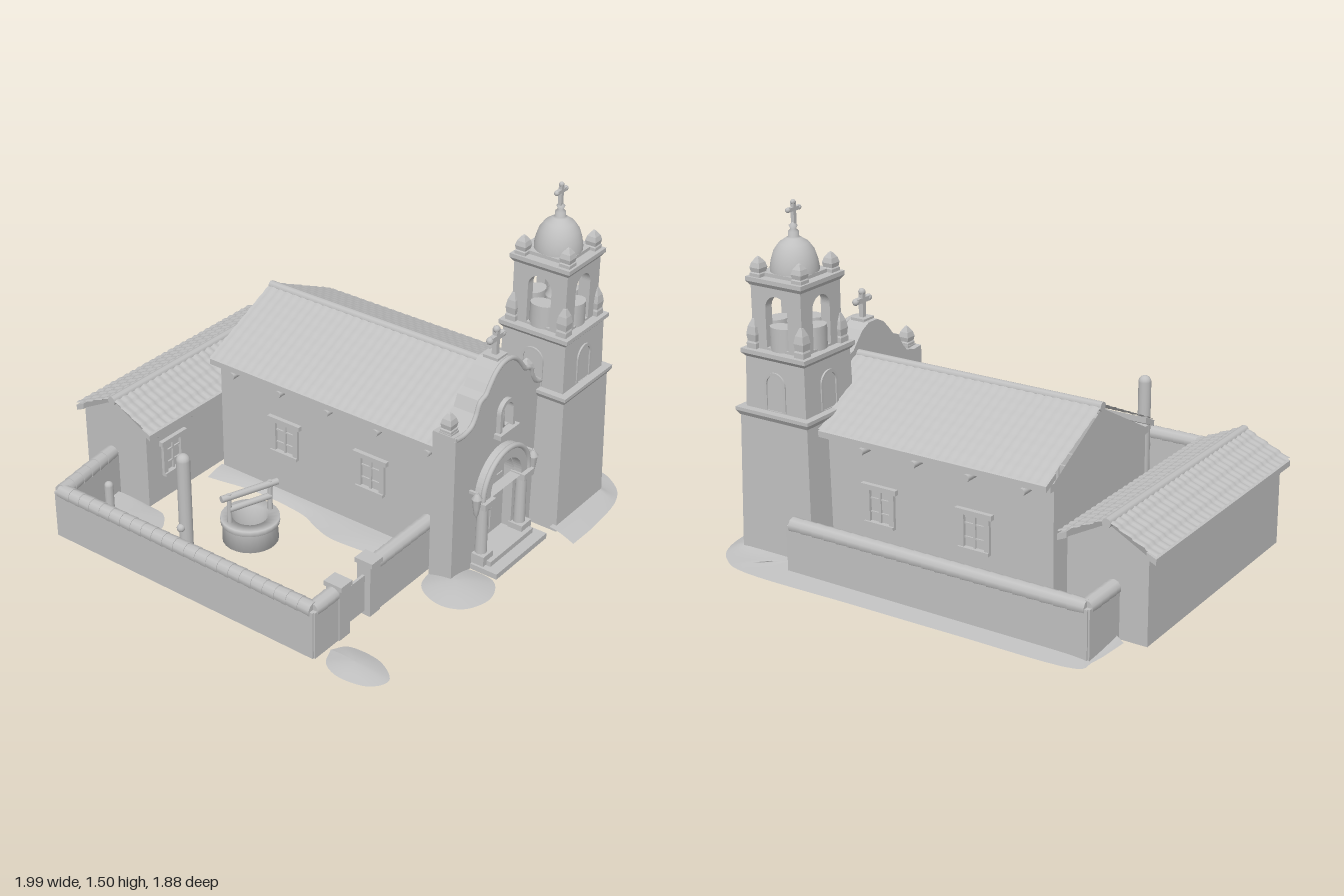
import * as THREE from 'three';

const stone = new THREE.MeshStandardMaterial({ color: 0xc0c0c0, side: THREE.DoubleSide });
stone.name = 'paleGrey';

export function createModel() {
  const root = new THREE.Group();
  root.name = 'missionChurch';
  const part = (name, geo, x = 0, y = 0, z = 0, parent = root) => {
    const m = new THREE.Mesh(geo, stone);
    m.name = name;
    m.position.set(x, y, z);
    parent.add(m);
    return m;
  };
  const group = (name, x = 0, y = 0, z = 0, ry = 0, parent = root) => {
    const g = new THREE.Group();
    g.name = name;
    g.position.set(x, y, z);
    g.rotation.y = ry;
    parent.add(g);
    return g;
  };
  // box given by its ranges
  const block = (name, x0, x1, y0, y1, z0, z1, parent = root) =>
    part(name, new THREE.BoxGeometry(x1 - x0, y1 - y0, z1 - z0), (x0 + x1) / 2, (y0 + y1) / 2, (z0 + z1) / 2, parent);
  const poly = pts => new THREE.Shape(pts.map(p => new THREE.Vector2(...p)));
  const extrude = (shape, depth) => new THREE.ExtrudeGeometry(shape, { depth, bevelEnabled: false, curveSegments: 14 });
  const arch = (cx, y0, spring, r, Type = THREE.Shape) => {
    const s = new Type();
    s.moveTo(cx - r, y0);
    s.lineTo(cx + r, y0);
    s.lineTo(cx + r, spring);
    s.absarc(cx, spring, r, 0, Math.PI, false);
    s.lineTo(cx - r, y0);
    return s;
  };
  const lathe = (pts, seg = 20) => new THREE.LatheGeometry(pts.map(p => new THREE.Vector2(...p)), seg);
  const beam = (name, r, len, x, y, z, parent) =>
    part(name, new THREE.CylinderGeometry(r, r, len, 10).rotateX(Math.PI / 2), x, y, z, parent);

  // Hollow gabled house: thin walls and a tiled roof with its ridge along local z
  function house(name, g, len, wallHalf, wallY, roofLen, half, eave, ridge, ripple) {
    const slope = (ridge - eave) / half;
    const yAt = x => ridge - slope * x;
    const gable = new THREE.ShapeGeometry(poly([[-wallHalf, 0], [wallHalf, 0], [wallHalf, wallY], [0, ridge - 0.012], [-wallHalf, wallY]]));
    for (const s of [-1, 1]) {
      const end = part(name + 'Gable', gable, 0, 0, s * len / 2, g);
      end.rotation.y = s > 0 ? 0 : Math.PI;
      const side = part(name + 'Wall', new THREE.PlaneGeometry(len, wallY), s * wallHalf, wallY / 2, 0, g);
      side.rotation.y = s * Math.PI / 2;
      // overhanging eave
      const w = wallHalf - 0.005, t = 0.026;
      part(name + 'Eave', extrude(poly([[s * w, yAt(w) - t], [s * half, eave - t], [s * half, eave], [s * w, yAt(w)]]), roofLen), 0, 0, -roofLen / 2, g);
    }
    const tiles = new THREE.PlaneGeometry(2 * half, roofLen, 60, Math.round(roofLen / 0.01)).rotateX(-Math.PI / 2);
    const p = tiles.attributes.position;
    for (let i = 0; i < p.count; i++) {
      const d = Math.abs(p.getX(i));
      p.setY(i, yAt(d) + 0.002 + ripple * ((d / 0.055) % 1 + Math.abs(Math.sin(p.getZ(i) * 75))));
    }
    tiles.computeVertexNormals();
    part(name + 'RoofTiles', tiles, 0, 0, 0, g);
    beam(name + 'RidgeCap', 0.02, roofLen, 0, ridge - 0.005, 0, g);
  }
  house('nave', group('nave', 0.04, 0, -0.275, Math.PI / 2), 1.18, 0.355, 0.58, 1.19, 0.42, 0.59, 0.785, 0.004);
  house('annex', group('annex', -0.782, 0, -0.053), 1.13, 0.178, 0.37, 1.16, 0.215, 0.378, 0.478, 0.007);

  // Window: frame, lintel, sill, mullion; faces local +z
  function windowAt(x, y, z, ry, w = 0.12, h = 0.14) {
    const g = group('window', x, y, z, ry);
    for (const s of [-1, 1]) block('windowJamb', s * w / 2 - 0.012, s * w / 2 + 0.012, -h / 2, h / 2, -0.01, 0.014, g);
    block('windowLintel', -w * 0.72, w * 0.72, h / 2, h / 2 + 0.022, -0.01, 0.02, g);
    block('windowSill', -w * 0.6, w * 0.6, -h / 2 - 0.015, -h / 2, -0.01, 0.022, g);
    block('windowMullion', -0.005, 0.005, -h / 2, h / 2, -0.01, 0.009, g);
    for (const s of [-1, 1]) block('windowBar', -w / 2, w / 2, s * 0.03 - 0.003, s * 0.03 + 0.003, -0.01, 0.007, g);
  }
  for (const x of [-0.19, 0.27]) {
    windowAt(x, 0.295, 0.08, 0);
    windowAt(x, 0.295, -0.63, Math.PI);
  }
  windowAt(-0.604, 0.2, 0.355, Math.PI / 2, 0.11, 0.14);

  // Beam ends and wall plates below the nave eaves
  for (const [z, s] of [[0.08, 1], [-0.63, -1]]) {
    for (let i = 0; i < 5; i++) beam('beamEnd', 0.016, 0.1, -0.44 + i * 0.255, 0.54, z + s * 0.01);
    block('wallPlate', -0.55, 0.63, 0.548, 0.58, z - 0.025, z + 0.025);
  }
  for (const z of [0.24, 0.46]) beam('annexBeamEnd', 0.012, 0.06, -0.6, 0.35, z).rotation.y = Math.PI / 2;

  // Facade: local x runs along -z, local z along +x
  const facade = group('facade', 0.64, 0, -0.165, Math.PI / 2);
  const right = [[0.345, 0], [0.345, 0.69], [0.29, 0.685], [0.235, 0.70], [0.205, 0.735], [0.18, 0.785], [0.14, 0.80], [0.115, 0.83], [0.075, 0.872], [0.03, 0.895]];
  const outline = [...right, ...right.map(([x, y]) => [-x, y]).reverse()];
  const front = poly(outline);
  front.holes.push(arch(-0.02, 0.04, 0.33, 0.113, THREE.Path), arch(0, 0.585, 0.665, 0.038, THREE.Path));
  part('facadeWall', extrude(front, 0.11), 0, 0, 0, facade);
  part('facadeBacking', new THREE.ShapeGeometry(poly(outline)), 0, 0, 0.05, facade);
  const rim = new THREE.CatmullRomCurve3(outline.slice(1, -1).map(([x, y]) => new THREE.Vector3(x, y - 0.006, 0.108)));
  part('facadeMoulding', new THREE.TubeGeometry(rim, 60, 0.011, 8), 0, 0, 0, facade);
  // square pinnacle
  const pinnacle = lathe([[0, 0], [0.036, 0], [0.036, 0.015], [0.031, 0.02], [0.036, 0.04], [0.028, 0.062], [0.01, 0.083], [0, 0.09]], 4).rotateY(Math.PI / 4).toNonIndexed();
  pinnacle.computeVertexNormals();
  for (const [x, y] of [[-0.312, 0.69], [0.24, 0.69]]) {
    block('pinnacleBase', x - 0.028, x + 0.028, y - 0.03, y + 0.005, 0.027, 0.083, facade);
    part('facadePinnacle', pinnacle, x, y, 0.055, facade);
  }

  // Doorway: arch ring, columns, double door
  const ring = arch(-0.02, 0.325, 0.335, 0.175);
  ring.holes.push(arch(-0.02, 0.3251, 0.335, 0.115, THREE.Path));
  part('doorArch', extrude(ring, 0.05), 0, 0, 0.1, facade);
  part('doorArchMoulding', new THREE.TorusGeometry(0.168, 0.012, 8, 28, Math.PI), -0.02, 0.335, 0.148, facade);
  for (const s of [-1, 1]) {
    const x = -0.02 + s * 0.144;
    part('doorColumn', new THREE.CylinderGeometry(0.023, 0.026, 0.25, 14), x, 0.19, 0.132, facade);
    block('columnBase', x - 0.036, x + 0.036, 0.03, 0.075, 0.1, 0.17, facade);
    block('columnCapital', x - 0.038, x + 0.038, 0.3, 0.33, 0.1, 0.17, facade);
    // wall lantern
    const lx = -0.022 + s * 0.208;
    part('lantern', lathe([[0, 0], [0.01, 0.02], [0.015, 0.05], [0.021, 0.09], [0.023, 0.095], [0.01, 0.115], [0, 0.13]], 8), lx, 0.275, 0.145, facade);
    block('lanternBracket', lx - 0.006, lx + 0.006, 0.385, 0.397, 0.1, 0.15, facade);
    block('doorPanel', -0.02 + s * 0.056 - 0.04, -0.02 + s * 0.056 + 0.04, 0.07, 0.32, 0.064, 0.07, facade);
  }
  part('door', extrude(arch(-0.02, 0.03, 0.33, 0.113), 0.01), 0, 0, 0.055, facade);
  part('doorWreath', new THREE.TorusGeometry(0.018, 0.006, 8, 16), -0.02, 0.205, 0.076, facade);

  // Statue niche
  const nicheRing = arch(0, 0.58, 0.665, 0.055);
  nicheRing.holes.push(arch(0, 0.5801, 0.665, 0.038, THREE.Path));
  part('nicheFrame', extrude(nicheRing, 0.03), 0, 0, 0.1, facade);
  block('nicheLedge', -0.07, 0.07, 0.56, 0.582, 0.1, 0.145, facade);
  part('nicheStatue', lathe([[0, 0], [0.022, 0], [0.018, 0.04], [0.02, 0.065], [0.008, 0.078], [0.012, 0.09], [0, 0.105]], 12), 0, 0.582, 0.09, facade);

  // Steps
  block('lowerStep', 0.64, 0.88, 0, 0.025, -0.34, 0.04);
  block('upperStep', 0.64, 0.83, 0, 0.048, -0.31, 0.01);

  // Cross with rounded ends, arms along z
  function cross(x, y, z, h, arm, t) {
    const g = group('cross', x, y, z);
    const cy = h * 0.66;
    block('crossPost', -t, t, 0, h - t, -t, t, g);
    block('crossArms', -t, t, cy - t, cy + t, -arm + t, arm - t, g);
    for (const [py, pz] of [[h - 1.4 * t, 0], [cy, arm - 1.4 * t], [cy, 1.4 * t - arm]])
      part('crossKnob', new THREE.SphereGeometry(t * 1.4, 10, 8), 0, py, pz, g);
  }
  cross(0.695, 0.88, -0.165, 0.15, 0.06, 0.011);
  block('crossFoot', 0.66, 0.73, 0.875, 0.905, -0.2, -0.13);

  // Bell tower
  const tower = group('bellTower', 0.703, 0, -0.59);
  const stage = (name, w, y0, y1, top = w, open = false) => {
    const g = new THREE.CylinderGeometry(top / Math.SQRT2, w / Math.SQRT2, y1 - y0, 4, 1, open).rotateY(Math.PI / 4).toNonIndexed();
    g.computeVertexNormals();
    part(name, g, 0, (y0 + y1) / 2, 0, tower);
  };
  stage('towerBase', 0.37, 0, 0.625, 0.345, true);
  stage('lowerCornice', 0.35, 0.615, 0.635, 0.375);
  stage('lowerCorniceTop', 0.375, 0.635, 0.65);
  stage('middleStage', 0.31, 0.65, 0.87, 0.3);
  stage('middleCornice', 0.3, 0.865, 0.882, 0.33);
  stage('middleCorniceTop', 0.33, 0.882, 0.9);
  stage('belfryCornice', 0.26, 1.165, 1.182, 0.283);
  stage('belfryCorniceTop', 0.283, 1.182, 1.2);
  stage('domePlinth', 0.2, 1.2, 1.215);
  for (let i = 0; i < 4; i++) {
    const side = group('towerSide', 0, 0, 0, i * Math.PI / 2, tower);
    const wall = poly([[-0.127, 0.9], [0.127, 0.9], [0.127, 1.17], [-0.127, 1.17]]);
    wall.holes.push(arch(0, 0.91, 1.075, 0.056, THREE.Path));
    part('belfryWall', extrude(wall, 0.04), 0, 0, 0.087, side);
    part('belfryParapet', new THREE.CylinderGeometry(0.055, 0.055, 0.1, 16), 0, 0.95, 0.095, side).scale.z = 0.75;
    const panel = arch(0, 0.655, 0.765, 0.054);
    panel.holes.push(arch(0, 0.6551, 0.765, 0.042, THREE.Path));
    part('middleArch', extrude(panel, 0.012), 0, 0, 0.147, side);
    part('belfryShoulder', pinnacle, 0.122, 0.9, 0.122, side).scale.set(0.95, 1.45, 0.95);
    part('domePinnacle', pinnacle, 0.106, 1.2, 0.1, side).scale.y = 0.92;
  }
  part('bell', lathe([[0.042, 0], [0.032, 0.02], [0.024, 0.06], [0.018, 0.08], [0, 0.085]]), 0, 1.0, 0, tower);
  part('bellHanger', new THREE.CylinderGeometry(0.007, 0.007, 0.1, 8), 0, 1.12, 0, tower);
  part('dome', lathe([[0.1, 0], [0.1, 0.02], [0.095, 0.05], [0.083, 0.088], [0.06, 0.12], [0.03, 0.14], [0.022, 0.145], [0.022, 0.165], [0.012, 0.175], [0.018, 0.19], [0, 0.205]], 28), 0, 1.21, 0, tower);
  cross(0.703, 1.39, -0.585, 0.115, 0.045, 0.008);

  // Courtyard walls with rounded tile caps
  function yardWall(ax, az, bx, bz) {
    const len = Math.hypot(bx - ax, bz - az);
    const g = group('yardWall', ax, 0, az, Math.atan2(bx - ax, bz - az));
    block('wallBody', -0.027, 0.027, 0, 0.215, -0.02, len + 0.02, g);
    const n = Math.ceil(len / 0.06);
    for (let i = 0; i < n; i++)
      part('capTile', new THREE.CylinderGeometry(0.034, 0.031, len / n + 0.012, 10).rotateX(Math.PI / 2), 0, 0.213, (i + 0.5) * len / n, g);
  }
  yardWall(-0.745, 0.88, 0.59, 0.88);
  yardWall(-0.798, 0.53, -0.745, 0.88);
  yardWall(0.59, 0.88, 0.59, 0.74);
  yardWall(0.59, 0.51, 0.59, 0.13);
  yardWall(-0.81, -0.82, 0.57, -0.82);
  yardWall(-0.81, -0.82, -0.81, -0.6);
  for (const z of [0.525, 0.722]) {
    block('gatePost', 0.557, 0.623, 0, 0.24, z - 0.033, z + 0.033);
    block('gatePostCap', 0.547, 0.633, 0.235, 0.257, z - 0.035, z + 0.035);
  }
  block('gate', 0.584, 0.596, 0.02, 0.19, 0.55, 0.7);

  // Well with its winch frame
  const well = group('well', -0.11, 0, 0.42, -0.35);
  part('wellRing', lathe([[0.075, 0], [0.12, 0], [0.115, 0.08], [0.126, 0.085], [0.126, 0.11], [0.075, 0.11], [0.075, 0]], 24), 0, 0, 0, well);
  for (const s of [-1, 1]) part('wellPost', new THREE.CylinderGeometry(0.01, 0.012, 0.2, 8), 0, 0.15, s * 0.098, well);
  beam('wellBeam', 0.015, 0.27, 0, 0.235, 0, well);
  beam('wellRoller', 0.014, 0.2, 0, 0.175, 0, well);

  // Columnar cactus and a small plant
  part('cactus', new THREE.CapsuleGeometry(0.029, 0.48, 6, 14), -0.185, 0.27, 0.735);
  part('cactusArm', new THREE.SphereGeometry(0.018, 10, 8), -0.185, 0.2, 0.765);
  part('smallPlant', new THREE.CapsuleGeometry(0.02, 0.12, 5, 10), -0.705, 0.08, 0.65);

  // Ground strips: open sheets rising from an outer edge to an inner edge
  function ground(outer, inner, h) {
    const line = (pts, smooth) => {
      const v = pts.map(([x, z]) => new THREE.Vector3(x, 0, z));
      if (v.length === 1) return () => v[0];
      const c = new THREE.CatmullRomCurve3(v, false, 'catmullrom', smooth);
      return t => c.getPoint(t);
    };
    const a = line(outer, 0.5), b = line(inner, 0);
    const geo = new THREE.PlaneGeometry(1, 1, 48, 4);
    const p = geo.attributes.position, uv = geo.attributes.uv;
    for (let i = 0; i < p.count; i++) {
      const v = uv.getY(i);
      const q = a(uv.getX(i)).clone().lerp(b(uv.getX(i)), v);
      p.setXYZ(i, q.x, 0.002 + h * Math.sin(v * Math.PI / 2), q.z);
    }
    geo.computeVertexNormals();
    part('groundPatch', geo);
  }
  ground([[-0.87, -0.64], [-0.85, -0.83], [-0.79, -0.92], [-0.3, -0.93], [0.2, -0.935], [0.72, -0.94], [0.89, -0.88], [0.97, -0.76], [0.995, -0.55], [0.995, -0.37]],
    [[-0.8, -0.63], [-0.7, -0.63], [-0.56, -0.63], [-0.2, -0.63], [0.15, -0.63], [0.5, -0.63], [0.53, -0.77], [0.87, -0.77], [0.87, -0.55], [0.87, -0.38]], 0.03);
  ground([[-0.61, 0.51], [-0.52, 0.52], [-0.46, 0.58], [-0.42, 0.65], [-0.3, 0.67], [0.1, 0.68], [0.48, 0.66], [0.53, 0.72], [0.55, 0.86]],
    [[-0.79, 0.53], [-0.77, 0.7], [-0.74, 0.86], [-0.6, 0.86], [-0.35, 0.86], [0.1, 0.86], [0.4, 0.86], [0.5, 0.86], [0.55, 0.86]], 0.02);
  ground([[-0.56, 0.18], [-0.5, 0.17], [-0.3, 0.14], [-0.05, 0.155], [0.07, 0.2], [0.2, 0.225], [0.5, 0.19], [0.6, 0.15]],
    [[-0.56, 0.08], [0.6, 0.08]], 0.02);
  ground([[0.63, 0.1], [0.75, 0.05], [0.88, 0.06], [0.935, 0.17], [0.89, 0.29], [0.78, 0.325], [0.66, 0.26], [0.63, 0.1]], [[0.77, 0.17]], 0.025);
  ground([[0.63, 0.82], [0.68, 0.76], [0.82, 0.76], [0.92, 0.83], [0.88, 0.91], [0.76, 0.935], [0.67, 0.9], [0.63, 0.82]], [[0.76, 0.84]], 0.02);
  return root;
}
